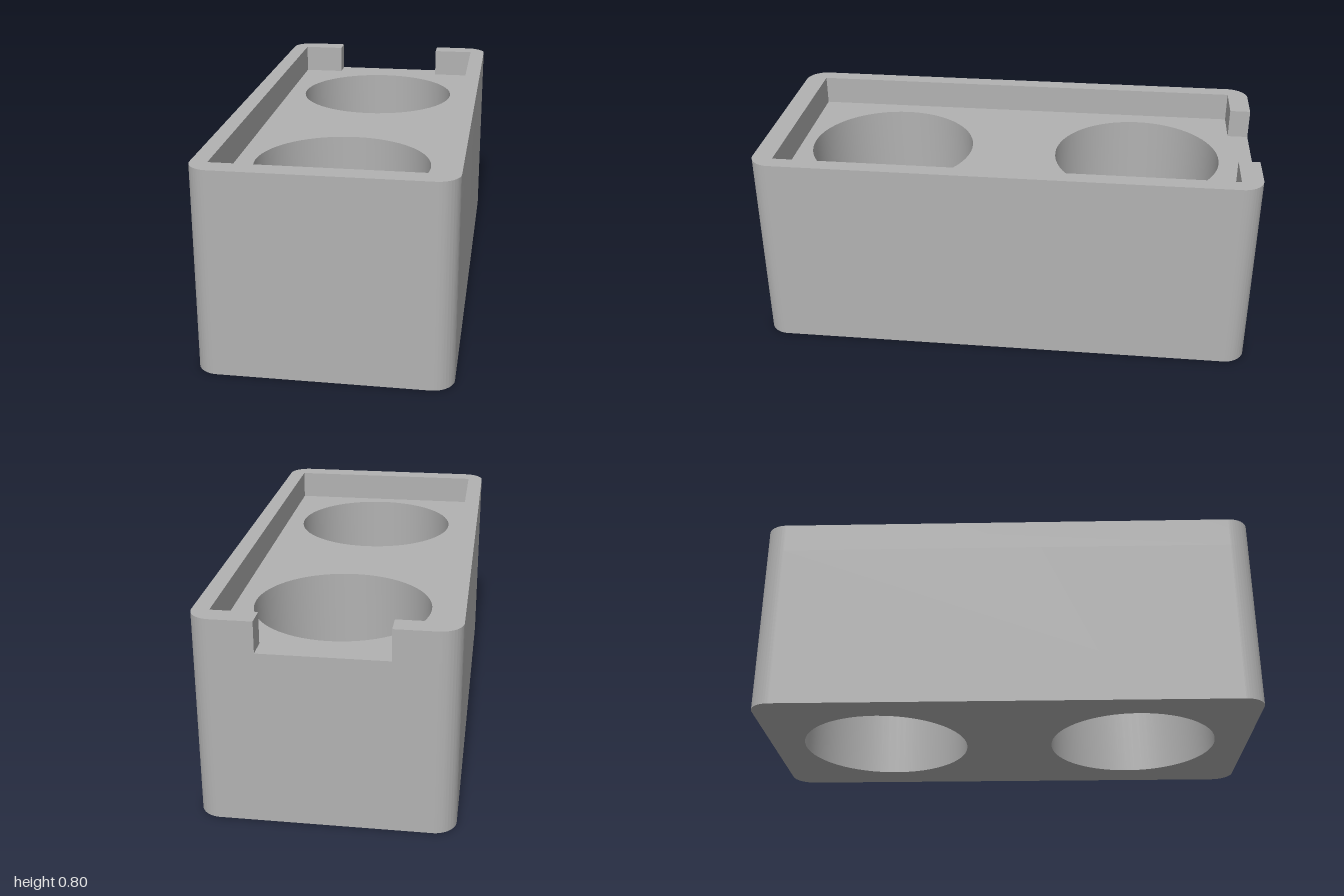
import * as THREE from 'three';
import { toCreasedNormals } from 'three/addons/utils/BufferGeometryUtils.js';

const W = 0.48, L = 1, R = 0.085;          // half width, half length, corner radius
const FLOOR = 0.68, TOP = 0.8;             // tray floor and rim heights
const IN_X = 0.415, IN_Z = 0.915, GAP = 0.24; // recess half sizes, half width of the rear opening
const HOLE_R = 0.342, HOLE_Z = 0.52;

// Plan shapes are drawn with +y towards the back, then stood upright.
function raise(shape, y0, y1) {
  const geo = new THREE.ExtrudeGeometry(shape, { depth: y1 - y0, bevelEnabled: false, curveSegments: 32 });
  geo.rotateX(-Math.PI / 2);
  geo.translate(0, y0, 0);
  return toCreasedNormals(geo, 0.5);
}

// Outer outline, counter-clockwise from the right of the rear opening to its left.
function outline(gap) {
  const s = new THREE.Shape();
  s.moveTo(-gap, L);
  s.lineTo(-W + R, L);
  s.absarc(-W + R, L - R, R, Math.PI / 2, Math.PI, false);
  s.absarc(-W + R, -L + R, R, Math.PI, Math.PI * 1.5, false);
  s.absarc(W - R, -L + R, R, Math.PI * 1.5, Math.PI * 2, false);
  s.absarc(W - R, L - R, R, 0, Math.PI / 2, false);
  s.lineTo(gap, L);
  return s;
}

export function createModel() {
  const group = new THREE.Group();
  group.name = 'twoHoleTray';
  const grey = new THREE.MeshStandardMaterial({ color: 0xb2b2b2 });
  grey.name = 'grey';

  // Solid block with two round through holes
  const block = outline(GAP);
  block.closePath();
  for (const z of [-HOLE_Z, HOLE_Z]) {
    const hole = new THREE.Path();
    hole.absarc(0, z, HOLE_R, 0, Math.PI * 2, true);
    block.holes.push(hole);
  }
  const body = new THREE.Mesh(raise(block, 0, FLOOR), grey);
  body.name = 'body';

  // Raised rim around the recess, open in the middle of the back
  const wall = outline(GAP);
  for (const [x, y] of [[GAP, IN_Z], [IN_X, IN_Z], [IN_X, -IN_Z], [-IN_X, -IN_Z], [-IN_X, IN_Z], [-GAP, IN_Z]])
    wall.lineTo(x, y);
  wall.closePath();
  const rim = new THREE.Mesh(raise(wall, FLOOR, TOP), grey);
  rim.name = 'rim';

  group.add(body, rim);
  return group;
}
